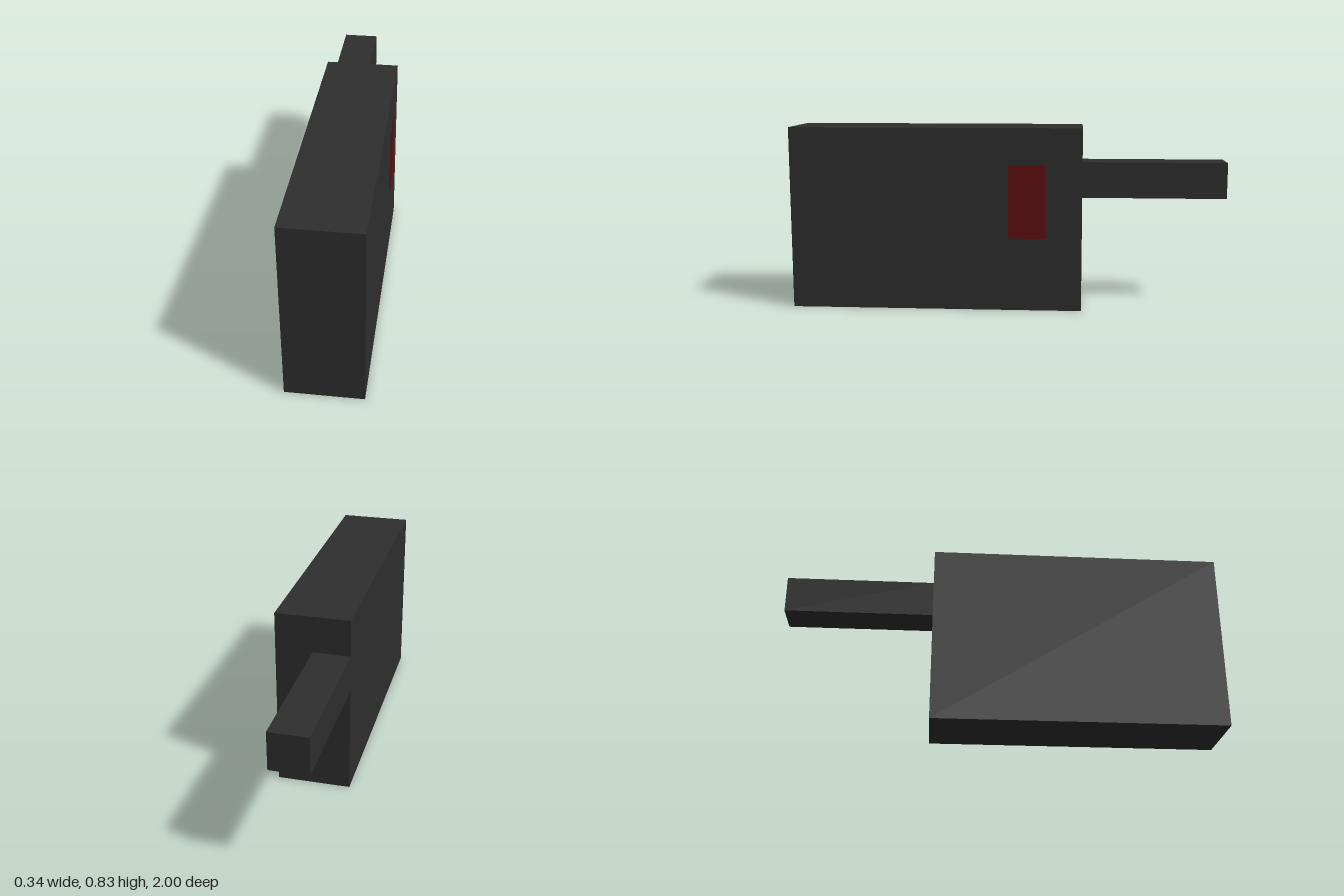
import * as THREE from 'three';

const U = 1 / 6; // one grid unit of the blocky design

export function createModel() {
  const model = new THREE.Group();
  const charcoal = new THREE.MeshStandardMaterial({ color: 0x2e2e2e });
  charcoal.name = 'charcoal';
  const darkRed = new THREE.MeshStandardMaterial({ color: 0x5f0c0c });
  darkRed.name = 'dark red';

  // Box from its minimum to its maximum corner
  const addBox = (name, material, min, max) => {
    const size = max.map((v, i) => v - min[i]);
    const mesh = new THREE.Mesh(new THREE.BoxGeometry(...size), material);
    mesh.position.set(...max.map((v, i) => (v + min[i]) / 2));
    mesh.name = name;
    model.add(mesh);
  };

  // Tall slab body
  addBox('body', charcoal, [-U, 0, -2 * U], [U, 5 * U, 1]);
  // Square bar at the back, flush with the -x side
  addBox('rearBar', charcoal, [-U, 3 * U, -1], [0, 4 * U, -2 * U]);
  // Thin red panel on the +x side
  addBox('sidePanel', darkRed, [U, 2 * U, -U], [U + 0.002, 4 * U, 0]);

  return model;
}
